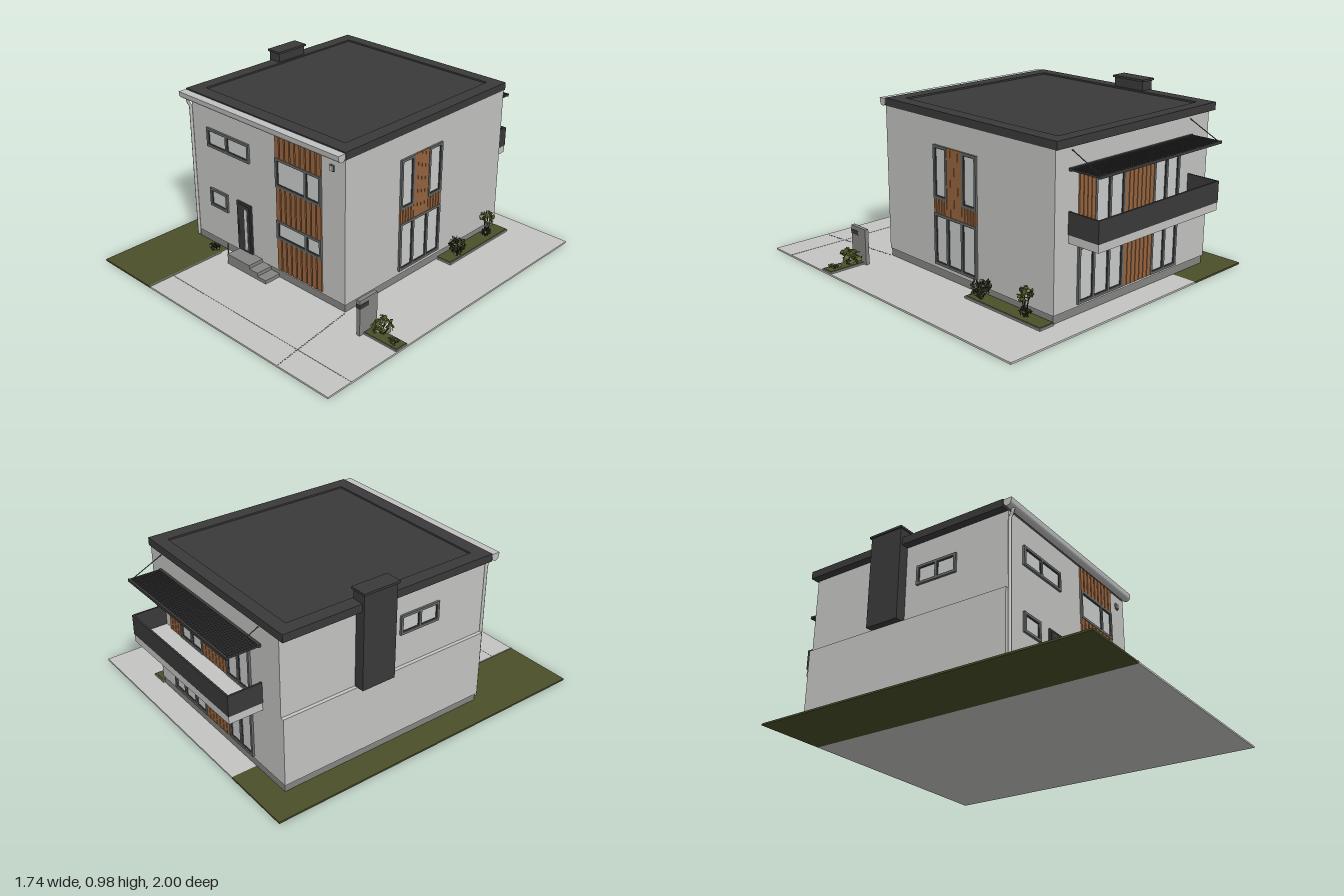
import * as THREE from 'three';
import { mergeGeometries } from 'three/addons/utils/BufferGeometryUtils.js';

const material = (name, color, side = THREE.FrontSide) => {
  const m = new THREE.MeshStandardMaterial({ color, side });
  m.name = name;
  return m;
};

export function createModel() {
  const wall = material('render', 0xc4c4c2);
  const glass = material('glass', 0xcacccb);
  const concrete = material('concrete', 0x858583);
  const frameGrey = material('frame grey', 0x676a69);
  const dark = material('anthracite', 0x3a3a3b);
  const wood = material('timber', 0x96643e);
  const lawnGreen = material('lawn', 0x4b4f2a);
  const leafGreen = material('leaf', 0x59642e, THREE.DoubleSide);
  const darkLeaf = material('dark leaf', 0x30371c, THREE.DoubleSide);

  const model = new THREE.Group();
  model.name = 'house';
  const add = (name, geo, mat, parent = model) => {
    const mesh = new THREE.Mesh(geo, mat);
    mesh.name = name;
    parent.add(mesh);
    return mesh;
  };
  // Box given by its limits on each axis
  const boxGeo = (x0, x1, y0, y1, z0, z1) => new THREE.BoxGeometry(x1 - x0, y1 - y0, z1 - z0)
    .translate((x0 + x1) / 2, (y0 + y1) / 2, (z0 + z1) / 2);
  const box = (name, mat, x0, x1, y0, y1, z0, z1, parent) =>
    add(name, boxGeo(x0, x1, y0, y1, z0, z1), mat, parent);
  const rectShape = (x0, x1, y0, y1) => new THREE.Shape([
    new THREE.Vector2(x0, y0), new THREE.Vector2(x1, y0), new THREE.Vector2(x1, y1), new THREE.Vector2(x0, y1)]);
  const rod = (a, b, r) => new THREE.TubeGeometry(
    new THREE.LineCurve3(new THREE.Vector3(...a), new THREE.Vector3(...b)), 1, r, 6);

  // Plot
  box('lawn', lawnGreen, -0.87, -0.465, 0, 0.01, -0.95, 1);
  box('paving', wall, -0.465, 0.87, 0, 0.01, -0.95, 1);
  box('lawnEdging', concrete, -0.468, -0.46, 0.004, 0.013, 0.51, 1);
  box('pavingJoint', concrete, -0.46, 0.87, 0.009, 0.011, 0.843, 0.847);
  const dots = [];
  for (let i = 0; i < 32; i++) {
    const t = i / 31, x = 0.462 + 0.068 * t, z = 0.47 + 0.52 * t;
    dots.push(boxGeo(x - 0.003, x + 0.003, 0.009, 0.0115, z - 0.004, z + 0.004));
  }
  add('dottedJoint', mergeGeometries(dots), frameGrey);
  box('sideBedKerb', concrete, 0.46, 0.555, 0.005, 0.022, -0.815, -0.28);
  box('sideBed', lawnGreen, 0.46, 0.55, 0.005, 0.025, -0.81, -0.285);
  box('frontBedKerb', concrete, 0.652, 0.868, 0.005, 0.02, 0.45, 0.53);
  box('frontBed', lawnGreen, 0.655, 0.865, 0.005, 0.023, 0.454, 0.526);

  // House body: the lower storey is a little wider on the left flank
  box('plinth', concrete, -0.71, 0.455, 0.005, 0.056, -0.805, 0.455);
  box('lowerWalls', wall, -0.72, 0.46, 0.055, 0.44, -0.81, 0.46);
  box('upperWalls', wall, -0.7, 0.46, 0.44, 0.88, -0.81, 0.46);

  // Flat roof with raised rim
  box('roofDeck', dark, -0.69, 0.41, 0.875, 0.905, -0.77, 0.4);
  const rim = rectShape(-0.745, 0.463, -0.46, 0.82);
  rim.holes.push(rectShape(-0.67, 0.385, -0.38, 0.75));
  add('roofRim', new THREE.ExtrudeGeometry(rim, { depth: 0.043, bevelEnabled: false })
    .rotateX(-Math.PI / 2).translate(0, 0.871, 0), dark);

  // Chimney
  box('chimney', dark, -0.76, -0.68, 0.44, 0.97, -0.375, -0.175);
  box('chimneyCap', dark, -0.768, -0.672, 0.965, 0.977, -0.383, -0.167);

  // Gutter and downpipe
  const gutter = new THREE.Shape();
  gutter.moveTo(-0.023, 0.03);
  gutter.lineTo(-0.023, 0.015);
  gutter.absarc(0, 0.012, 0.023, Math.PI, Math.PI * 2, false);
  gutter.lineTo(0.025, 0.03);
  add('gutter', new THREE.ExtrudeGeometry(gutter, { depth: 1.208, bevelEnabled: false, curveSegments: 8 })
    .rotateY(-Math.PI / 2).scale(1, 1, -1).rotateY(Math.PI).translate(0, 0, 0)
    .rotateX(0).center().translate(-0.141, 0.888, 0.486), material('gutter metal', 0xc0c1c1, THREE.DoubleSide));
  const pipePath = new THREE.CatmullRomCurve3([[0.49, 0.875], [0.488, 0.855], [0.472, 0.83], [0.47, 0.8], [0.47, 0.4], [0.47, 0.03]]
    .map(([z, y]) => new THREE.Vector3(-0.7, y, z)), false, 'catmullrom', 0.2);
  add('downpipe', new THREE.TubeGeometry(pipePath, 32, 0.009, 8), wall);

  // Facades: local x runs right as seen from outside, local z points outwards
  const facade = (name, x, z, turn) => {
    const g = new THREE.Group();
    g.name = name;
    g.position.set(x, 0, z);
    g.rotation.y = turn;
    model.add(g);
    return g;
  };
  const front = facade('frontFacade', 0, 0.46, 0);
  const right = facade('sunnySideFacade', 0.46, 0, Math.PI / 2);
  const back = facade('backFacade', 0, -0.81, Math.PI);
  const left = facade('chimneySideFacade', -0.7, 0, -Math.PI / 2);

  // Window: frame with one hole and one pane for each section
  const windowUnit = (parent, name, x0, x1, y0, y1, splits = [], t = 0.014) => {
    const g = new THREE.Group();
    g.name = name;
    parent.add(g);
    const outer = rectShape(x0, x1, y0, y1);
    const edges = [x0 + t / 2, ...splits, x1 - t / 2];
    for (let i = 0; i < edges.length - 1; i++)
      outer.holes.push(rectShape(edges[i] + t / 2, edges[i + 1] - t / 2, y0 + t, y1 - t));
    add('frame', new THREE.ExtrudeGeometry(outer, { depth: 0.012, bevelEnabled: false }), frameGrey, g);
    for (let i = 0; i < edges.length - 1; i++) {
      const a = edges[i] + t / 2, b = edges[i + 1] - t / 2;
      const seal = rectShape(a, b, y0 + t, y1 - t);
      seal.holes.push(rectShape(a + 0.004, b - 0.004, y0 + t + 0.004, y1 - t - 0.004));
      add('sash', new THREE.ExtrudeGeometry(seal, { depth: 0.007, bevelEnabled: false }), dark, g);
      box('pane', glass, a, b, y0 + t, y1 - t, 0, 0.003, g);
    }
  };
  // Timber slats with narrow gaps
  const slats = (parent, name, x0, x1, y0, y1, n, gap = 0.007) => {
    const step = (x1 - x0 + gap) / n, list = [];
    for (let i = 0; i < n; i++)
      list.push(boxGeo(x0 + i * step, x0 + (i + 1) * step - gap, y0, y1, 0, 0.009));
    add(name, mergeGeometries(list), wood, parent);
  };

  // Front: windows, timber strip, door, lamp
  windowUnit(front, 'upperFrontWindow', -0.575, -0.235, 0.625, 0.735, [-0.415]);
  windowUnit(front, 'lowerFrontWindow', -0.575, -0.43, 0.26, 0.37);
  windowUnit(front, 'upperStairWindow', -0.03, 0.3, 0.565, 0.732, [0.19]);
  windowUnit(front, 'lowerStairWindow', -0.03, 0.3, 0.26, 0.37, [0.19]);
  for (const [y0, y1] of [[0.07, 0.26], [0.37, 0.565], [0.732, 0.87]])
    slats(front, 'frontSlats', -0.028, 0.3, y0, y1, 9, 0.008);
  box('frontDoor', dark, -0.35, -0.235, 0.072, 0.37, 0, 0.01, front);
  box('doorLeaf', dark, -0.338, -0.247, 0.075, 0.358, 0.01, 0.014, front);
  box('doorGlass', glass, -0.285, -0.265, 0.09, 0.34, 0.012, 0.016, front);
  add('doorHandle', rod([-0.325, 0.17, 0.022], [-0.325, 0.27, 0.022], 0.003), frameGrey, front);
  box('wallLampBack', frameGrey, 0.363, 0.389, 0.788, 0.822, 0, 0.008, front);
  box('wallLamp', glass, 0.367, 0.385, 0.792, 0.818, 0, 0.014, front);

  // Entrance steps
  [[-0.345, -0.165, 0.07], [-0.165, -0.1, 0.05], [-0.1, -0.035, 0.03]].forEach(([a, b, h]) =>
    box('entranceStep', concrete, a, b, 0.005, h, 0.455, 0.557));

  // Right flank
  windowUnit(right, 'upperSideWindow', -0.055, 0.05, 0.447, 0.735);
  windowUnit(right, 'upperSideWindow', 0.165, 0.275, 0.447, 0.735);
  windowUnit(right, 'sideTerraceWindow', -0.055, 0.275, 0.08, 0.367, [0.05, 0.165]);
  slats(right, 'sideMiddleTimber', 0.05, 0.165, 0.367, 0.735, 4, 0.001);
  slats(right, 'sideTimberBand', -0.055, 0.047, 0.367, 0.447, 5, 0.005);
  slats(right, 'sideTimberBand', 0.168, 0.275, 0.367, 0.447, 5, 0.005);

  // Back (local x is mirrored)
  windowUnit(back, 'terraceDoor', -0.3, 0.03, 0.07, 0.365, [-0.19, -0.08]);
  windowUnit(back, 'terraceWindow', 0.25, 0.46, 0.07, 0.365, [0.355]);
  slats(back, 'lowerBackTimber', 0.03, 0.25, 0.07, 0.365, 7, 0.004);
  windowUnit(back, 'balconyDoor', -0.19, 0.03, 0.445, 0.735, [-0.08]);
  windowUnit(back, 'balconyWindow', 0.25, 0.46, 0.445, 0.735, [0.355]);
  slats(back, 'upperBackTimber', 0.03, 0.25, 0.445, 0.735, 7, 0.004);
  slats(back, 'upperBackTimber', -0.3, -0.19, 0.445, 0.735, 4, 0.004);

  // Left flank
  windowUnit(left, 'chimneySideWindow', -0.1, 0.15, 0.625, 0.735, [0.025]);

  // Balcony
  box('balconySlab', wall, -0.55, 0.365, 0.4, 0.443, -0.998, -0.81);
  box('balconyFrontRail', dark, -0.553, 0.368, 0.443, 0.558, -1, -0.99);
  for (const x of [-0.553, 0.358]) box('balconySideRail', dark, x, x + 0.01, 0.443, 0.558, -0.99, -0.81);

  // Slatted sunshade hung on rods
  const louvres = [];
  for (let i = 0; i <= 46; i++) {
    const x = -0.552 + i * 0.0199;
    louvres.push(boxGeo(x - 0.005, x + 0.005, 0.758, 0.768, -0.99, -0.82));
  }
  add('sunshadeLouvres', mergeGeometries(louvres), dark);
  box('sunshadeFrontBeam', dark, -0.557, 0.369, 0.755, 0.77, -1, -0.988);
  box('sunshadeWallBeam', dark, -0.557, 0.369, 0.755, 0.77, -0.825, -0.81);
  for (const x of [-0.54, 0.352])
    add('sunshadeRod', rod([x, 0.768, -0.99], [x, 0.855, -0.81], 0.0025), dark);

  // Letterbox pillar and path light
  box('letterboxPillar', concrete, 0.63, 0.652, 0.005, 0.213, 0.43, 0.557);
  box('letterbox', dark, 0.628, 0.654, 0.165, 0.19, 0.495, 0.558);
  add('pathLight', rod([-0.42, 0.01, 0.49], [-0.42, 0.085, 0.49], 0.004), frameGrey);

  // Plants: seeded clouds of small folded leaves
  let seed = 7;
  const rnd = () => (seed = (seed * 16807) % 2147483647) / 2147483647;
  const plant = (name, mat, [x, y, z], [rx, ry, rz], count, size) => {
    const g = new THREE.Group();
    g.name = name;
    g.position.set(x, y, z);
    model.add(g);
    const leaves = [];
    for (let i = 0; i < count; i++) {
      const a = rnd() * Math.PI * 2, v = rnd() * 2 - 1, r = 0.5 + 0.45 * rnd(), h = Math.sqrt(1 - v * v) * r;
      const leaf = new THREE.CircleGeometry(size * (0.7 + 0.5 * rnd()), 6).scale(0.65, 1, 1);
      leaf.rotateX(rnd() * 3).rotateY(rnd() * 6).rotateZ(rnd() * 2);
      leaves.push(leaf.translate(Math.cos(a) * h * rx, v * r * ry, Math.sin(a) * h * rz));
    }
    add('leaves', mergeGeometries(leaves), mat, g);
    const stems = [0, 2.1, 4.2].map((a) =>
      rod([0, 0.015 - y, 0], [Math.cos(a) * rx * 0.5, 0, Math.sin(a) * rz * 0.5], 0.003));
    add('stems', mergeGeometries(stems), darkLeaf, g);
  };
  plant('sideBush', darkLeaf, [0.525, 0.085, -0.37], [0.055, 0.05, 0.06], 130, 0.012);
  plant('sideTree', leafGreen, [0.51, 0.14, -0.67], [0.045, 0.045, 0.04], 60, 0.013);
  plant('sideTreeBase', darkLeaf, [0.51, 0.05, -0.67], [0.035, 0.022, 0.04], 40, 0.01);
  plant('bedShrub', leafGreen, [0.73, 0.07, 0.475], [0.07, 0.042, 0.07], 42, 0.02);
  plant('bedGroundCover', leafGreen, [0.815, 0.033, 0.495], [0.035, 0.012, 0.03], 30, 0.011);
  plant('lawnBush', darkLeaf, [-0.515, 0.03, 0.51], [0.037, 0.02, 0.03], 70, 0.01);

  return model;
}
